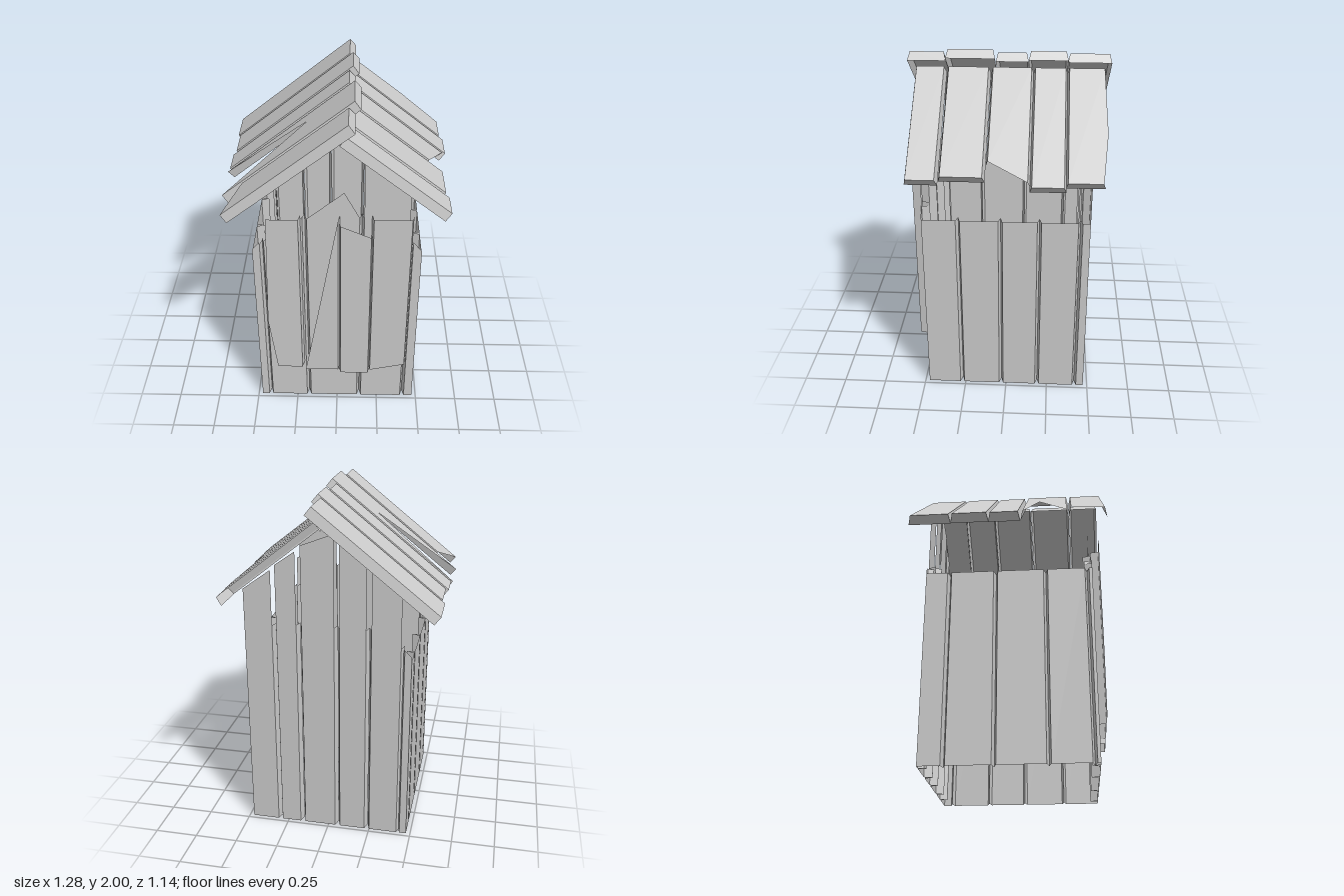
import * as THREE from 'three';

const material = new THREE.MeshStandardMaterial({ color: 0xcccccc, flatShading: true, side: THREE.DoubleSide });
const V = (x, y, z) => new THREE.Vector3(x, y, z);
const HALF = 0.475;   // half width of the shed
const PITCH = 0.795;  // rise per unit of run of the roof
const roofUnder = x => 1.86 - PITCH * Math.abs(x);
const gable = x => 1.15 + PITCH * (HALF - Math.abs(x));

// A plank is a sheet with bevelled edges turned inwards.
// pts: outline as [across, along]; frame: origin o, axes across, along, out.
// Straight long edges get a bevel, broken edges stay bare.
function plank(name, pts, frame, { depth = 0.045, bevel = 0.014, ends = false, limit = 9, cap = null } = {}) {
  const { o, across, along, out } = frame;
  const at = (a, l, n) => o.clone().addScaledVector(across, a).addScaledVector(along, l).addScaledVector(out, n);
  const verts = [];
  const tri = (...ps) => ps.forEach(p => verts.push(p.x, p.y, p.z));
  const outline = pts.map(p => new THREE.Vector2(...p));
  if (THREE.ShapeUtils.isClockWise(outline)) outline.reverse();
  const flip = across.clone().cross(along).dot(out) < 0;

  for (const [i, j, k] of THREE.ShapeUtils.triangulateShape(outline, [])) {
    const [a, b, c] = [i, j, k].map(q => at(outline[q].x, outline[q].y, 0));
    flip ? tri(a, c, b) : tri(a, b, c);
  }

  const xs = pts.map(p => p[0]);
  const mid = (Math.min(...xs) + Math.max(...xs)) / 2;
  outline.forEach((p, i) => {
    const q = outline[(i + 1) % outline.length];
    const isLong = Math.abs(p.x - q.x) < 1e-4 && Math.abs(p.x) < limit;
    const isEnd = ends && Math.abs(p.y - q.y) < 1e-4;
    if (!isLong && !isEnd) return;
    const top = l => (cap ? Math.min(l, cap(p.x)) : l);
    const inner = r => at(r.x + Math.sign(r.x - mid) * bevel, top(r.y), -depth);
    const a = at(p.x, top(p.y), 0), b = at(q.x, top(q.y), 0), c = inner(q), d = inner(p);
    flip ? tri(a, b, c, a, c, d) : tri(a, c, b, a, d, c);
  });

  const geometry = new THREE.BufferGeometry();
  geometry.setAttribute('position', new THREE.Float32BufferAttribute(verts, 3));
  geometry.computeVertexNormals();
  const mesh = new THREE.Mesh(geometry, material);
  mesh.name = name;
  return mesh;
}

function section(name, parts) {
  const group = new THREE.Group();
  group.name = name;
  group.add(...parts);
  return group;
}

// Upright plank from the ground, with its own height at each side
const upright = (a0, a1, h0, h1) => [[a0, 0], [a1, 0], [a1, h1], [a0, h0]];

export function createModel() {
  const model = new THREE.Group();
  const X = V(1, 0, 0), Y = V(0, 1, 0), Z = V(0, 0, 1);

  // Side walls: planks between the grooves
  for (const [name, side, grooves] of [
    ['leftWall', 1, [-0.42, -0.19, 0.03, 0.27]],
    ['rightWall', -1, [-0.34, -0.075, 0.21, 0.445]],
  ]) {
    const frame = { o: V(side * HALF, 0, 0), across: Z, along: Y, out: V(side, 0, 0) };
    const stops = [-HALF - 0.012, ...grooves, HALF + 0.012];
    model.add(section(name, stops.slice(1).map((z, i) =>
      plank('wallPlank', upright(stops[i] + 0.012, z - 0.012, 1.13, 1.13), frame, { limit: 0.47, bevel: 0.012 }))));
  }

  // Back wall: tall planks up to the roof, a short one in the corner
  const back = { o: V(0, 0, -HALF), across: X, along: Y, out: V(0, 0, -1) };
  const backOpts = { limit: 0.47, bevel: 0.014, cap: x => Math.min(gable(x), 1.29) };
  const backSpans = [[-0.415, -0.25], [-0.22, -0.07], [-0.04, 0.145], [0.175, 0.29], [0.315, HALF]];
  model.add(section('backWall', [
    plank('cornerPlank', upright(-HALF, -0.435, 1.15, 1.19), back, backOpts),
    ...backSpans.map(([a, b]) =>
      plank('tallPlank', upright(a, b, roofUnder(a) - 0.01, roofUnder(b)), back, backOpts)),
  ]));

  // Front wall: low gable planks and one that reaches the roof
  const front = { o: V(0, 0, HALF), across: X, along: Y, out: Z };
  const frontOpts = { limit: 0.47, bevel: 0.0125, cap: x => Math.min(gable(x), 1.37) };
  const frontPlanks = [
    upright(-HALF, -0.432, 1.15, 1.2),
    upright(-0.408, -0.19, 1.21, 1.37),
    [[-0.165, 0], [0.125, 0], [0.125, 1.37], [0.04, 1.53], [-0.165, 1.36]],
    upright(0.15, 0.4, roofUnder(0.15), roofUnder(0.4)),
    upright(0.425, HALF, 1.21, 1.15),
  ];
  model.add(section('frontWall', frontPlanks.map(p => plank('frontPlank', p, front, frontOpts))));

  // Broken door boards nailed over the front
  const door = { o: V(0, 0, 0.523), across: X, along: Y, out: Z };
  const doorBoards = [
    [[-0.36, 0.29], [-0.21, 0.29], [-0.21, 1.385], [-0.385, 1.385], [-0.405, 0.66]],
    [[-0.19, 0.27], [0.008, 0.27], [0.008, 1.385]],
    [[0.022, 0.245], [0.19, 0.245], [0.19, 1.27], [0.022, 1.345]],
    [[0.202, 0.27], [0.41, 0.32], [0.41, 1.39], [0.202, 1.39]],
  ];
  model.add(section('door', doorBoards.map(p => plank('doorBoard', p, door, { depth: 0.048, bevel: 0.01 }))));

  // Roof: outlines are [z, x], laid on each slope
  const slope = s => ({ o: V(0, 1.928, 0), across: Z, along: V(1, -s * PITCH, 0), out: V(s * PITCH, 1, 0).normalize() });
  const roofOpts = { depth: 0.055, bevel: 0.012, ends: true };
  const rect = (z0, z1, x0, x1) => [[z0, x0], [z1, x0], [z1, x1], [z0, x1]];
  const rightSlope = [
    rect(-0.558, -0.338, -0.63, 0.06),
    rect(-0.318, -0.122, -0.615, 0.08),
    rect(-0.098, 0.062, -0.63, 0.06),
    [[0.088, -0.64], [0.17, -0.17], [0.34, -0.64], [0.34, 0.09], [0.088, 0.09]],
    [[0.367, -0.52], [0.558, -0.62], [0.558, 0.06], [0.367, 0.06]],
  ];
  const leftSlope = [
    [[-0.535, 0.05], [-0.338, 0.05], [-0.338, 0.615], [-0.525, 0.615], [-0.55, 0.38]],
    rect(-0.318, -0.147, 0.05, 0.637),
    [[-0.125, 0.05], [0.092, 0.05], [0.092, 0.52], [-0.125, 0.615]],
    rect(0.118, 0.343, 0.05, 0.597),
    rect(0.37, 0.525, 0.05, 0.615),
  ];
  model.add(section('rightRoof', rightSlope.map(p => plank('roofPlank', p, slope(-1), roofOpts))));
  model.add(section('leftRoof', leftSlope.map(p => plank('roofPlank', p, slope(1), roofOpts))));

  return model;
}
